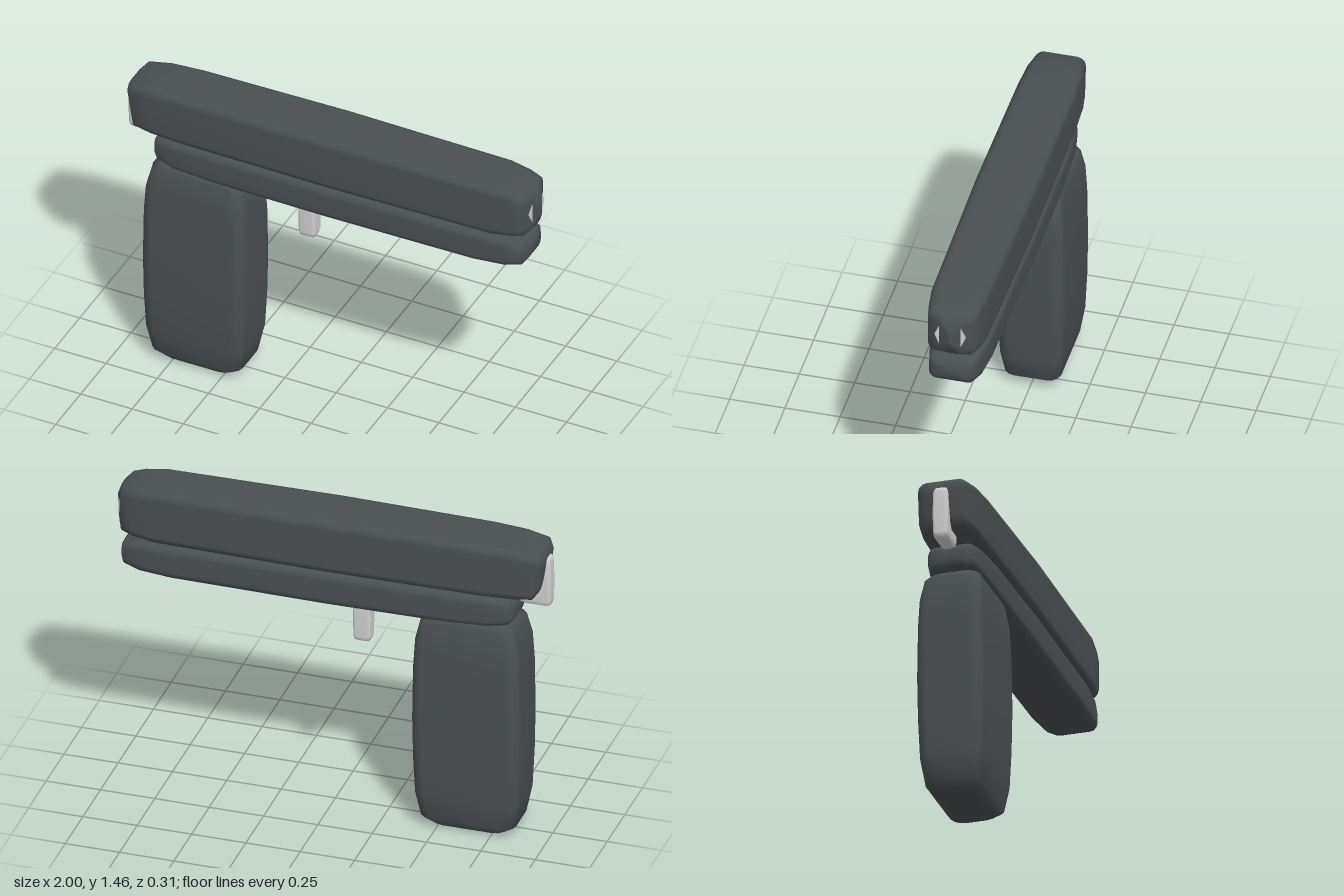
import * as THREE from 'three';

const dark = new THREE.MeshStandardMaterial({ color: 0x4a4f52 });
dark.name = 'dark grey';
const light = new THREE.MeshStandardMaterial({ color: 0xd2d2d2 });
light.name = 'light grey';

// Rounded rectangle as a loop of points, counter-clockwise
function roundedLoop(ha, hb, r) {
  const pts = [];
  const corners = [[1, 1], [-1, 1], [-1, -1], [1, -1]];
  corners.forEach(([sa, sb], q) => {
    for (let i = 0; i <= 3; i++) {
      const ang = (q + i / 3) * Math.PI / 2;
      pts.push([sa * (ha - r) + r * Math.cos(ang), sb * (hb - r) + r * Math.sin(ang)]);
    }
  });
  return pts;
}

// Smooth closed pillow through sections [position, centre, halfA, halfB, skew]
// axis 'x': A is y, B is z;  axis 'y': A is x, B is z
function pillow(name, material, axis, radius, sections) {
  const pos = [], index = [], n = 16;
  const add = (t, a, b) => (axis === 'x' ? pos.push(t, a, b) : pos.push(a, t, b));
  const tri = (a, b, c) => (axis === 'x' ? index.push(a, b, c) : index.push(a, c, b));
  for (const [t, c, ha, hb, skew = 0] of sections) {
    const r = Math.min(radius, ha * 0.6, hb * 0.6);
    for (const [a, b] of roundedLoop(ha, hb, r)) add(t + skew * a, c + a, b);
  }
  const last = sections.length - 1;
  for (let s = 0; s < last; s++) {
    for (let i = 0; i < n; i++) {
      const j = (i + 1) % n, p = s * n, q = p + n;
      tri(p + i, p + j, q + j);
      tri(p + i, q + j, q + i);
    }
  }
  // end caps
  const first = pos.length / 3;
  add(sections[0][0], sections[0][1], 0);
  add(sections[last][0], sections[last][1], 0);
  for (let i = 0; i < n; i++) {
    const j = (i + 1) % n;
    tri(first, j, i);
    tri(first + 1, last * n + i, last * n + j);
  }
  const geo = new THREE.BufferGeometry();
  geo.setAttribute('position', new THREE.Float32BufferAttribute(pos, 3));
  geo.setIndex(index);
  geo.computeVertexNormals();
  const mesh = new THREE.Mesh(geo, material);
  mesh.name = name;
  return mesh;
}

export function createModel() {
  const group = new THREE.Group();
  group.name = 'model';

  // Long upper body with a slanted rear and a ridged nose
  group.add(pillow('slide', dark, 'x', 0.04, [
    [-0.975, 1.325, 0.05, 0.03, -0.15],
    [-0.967, 1.325, 0.09, 0.085, -0.15],
    [-0.945, 1.325, 0.115, 0.114, -0.1],
    [-0.85, 1.33, 0.124, 0.128],
    [-0.7, 1.331, 0.129, 0.134],
    [0, 1.333, 0.132, 0.14],
    [0.8, 1.333, 0.13, 0.13],
    [0.9, 1.333, 0.122, 0.117],
    [0.955, 1.333, 0.108, 0.106],
    [0.975, 1.333, 0.095, 0.06],
    [1.0, 1.333, 0.03, 0.004],
  ]));

  // Lower body
  group.add(pillow('frame', dark, 'x', 0.035, [
    [-0.85, 1.13, 0.025, 0.05],
    [-0.842, 1.128, 0.045, 0.09],
    [-0.825, 1.126, 0.06, 0.108],
    [-0.74, 1.121, 0.073, 0.123],
    [-0.55, 1.12, 0.078, 0.131],
    [0, 1.12, 0.08, 0.136],
    [0.72, 1.12, 0.078, 0.131],
    [0.87, 1.12, 0.072, 0.12],
    [0.945, 1.12, 0.056, 0.103],
    [0.958, 1.12, 0.04, 0.08],
    [0.966, 1.12, 0.02, 0.04],
  ]));

  // Handle
  group.add(pillow('grip', dark, 'y', 0.055, [
    [0.003, -0.637, 0.09, 0.04],
    [0.012, -0.637, 0.17, 0.1],
    [0.05, -0.637, 0.218, 0.127],
    [0.17, -0.637, 0.24, 0.145],
    [0.35, -0.637, 0.247, 0.152],
    [0.55, -0.637, 0.25, 0.155],
    [0.8, -0.637, 0.247, 0.152],
    [0.93, -0.637, 0.24, 0.146],
    [1.03, -0.637, 0.218, 0.13],
    [1.063, -0.637, 0.18, 0.11],
    [1.075, -0.637, 0.09, 0.05],
  ]));

  // Trigger
  group.add(pillow('trigger', light, 'y', 0.014, [
    [0.83, -0.13, 0.025, 0.022],
    [0.837, -0.13, 0.036, 0.032],
    [0.855, -0.13, 0.04, 0.036],
    [1.0, -0.13, 0.042, 0.038],
    [1.09, -0.13, 0.041, 0.037],
  ]));

  // Hammer behind the slide
  group.add(pillow('hammer', light, 'y', 0.014, [
    [1.153, -0.925, 0.058, 0.022],
    [1.16, -0.925, 0.07, 0.03],
    [1.18, -0.925, 0.074, 0.034],
    [1.28, -0.925, 0.075, 0.036],
    [1.375, -0.925, 0.072, 0.034],
    [1.392, -0.925, 0.066, 0.028],
    [1.397, -0.925, 0.05, 0.015],
  ]));

  // Barrel end, just breaking through both sides of the nose
  const barrel = new THREE.Mesh(new THREE.CylinderGeometry(0.07, 0.07, 0.2, 8), light);
  barrel.name = 'barrel';
  barrel.rotation.z = -Math.PI / 2;
  barrel.position.set(0.88, 1.333, 0);
  group.add(barrel);

  return group;
}
